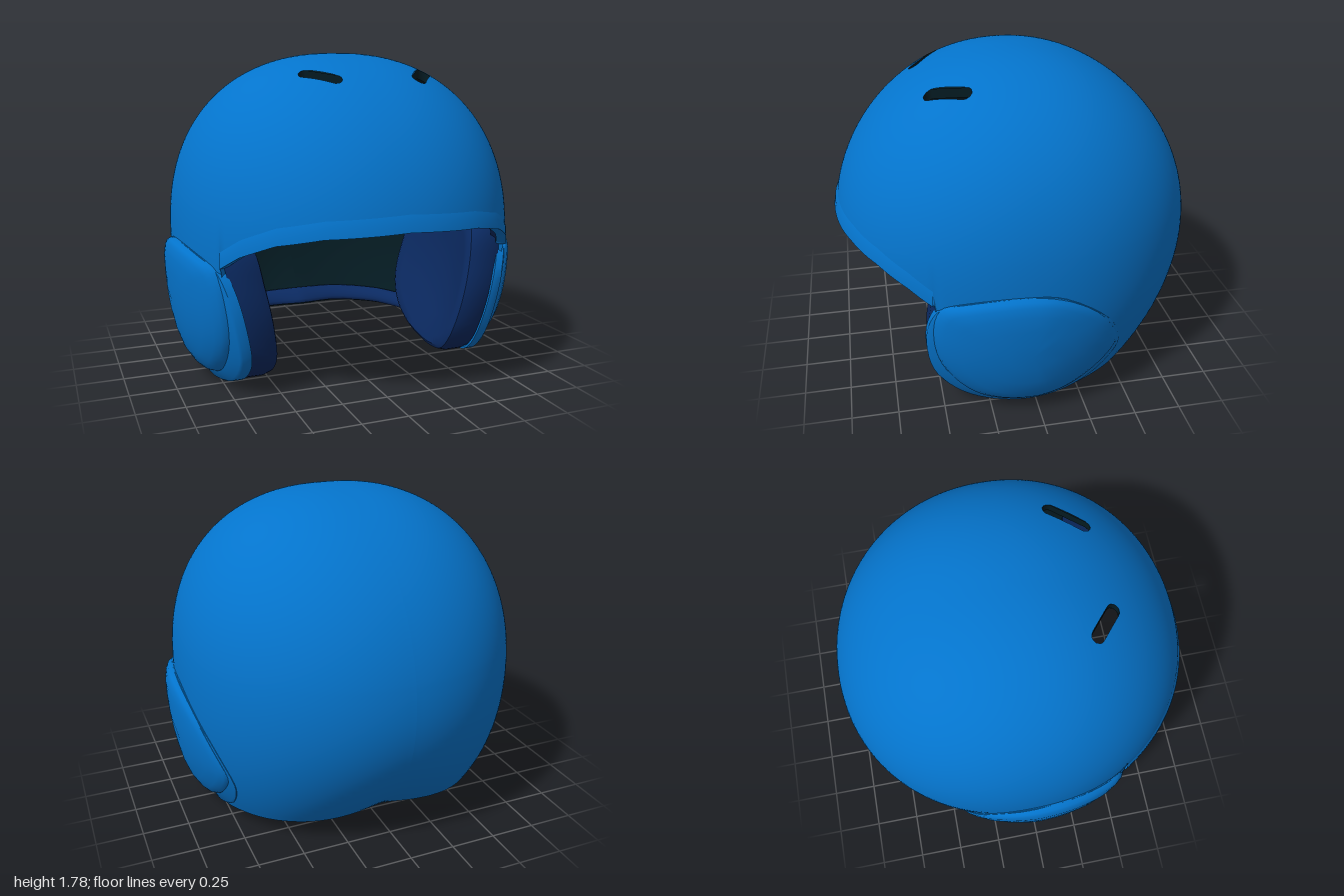
import * as THREE from 'three';
import { toCreasedNormals } from 'three/addons/utils/BufferGeometryUtils.js';

const mat = (name, color) => {
  const m = new THREE.MeshStandardMaterial({ color, side: THREE.DoubleSide });
  m.name = name;
  return m;
};

const RX = 0.95, RY = 0.98, MID = 0.8; // shell half width, dome height, widest level
const Q = 2.1; // roundness of the plan
const WALL = 0.045;

// roundness of the dome, fuller towards the sides
const domePower = (sin2) => 2 + 0.3 * sin2;
// depth of the lower half: straighter at the sides, rounder at the back
const lowerDepth = (sin2, front) => (front ? 1.34 : 0.88 + 0.46 * sin2 ** 0.75);

// relative radius where the relative height is c
function radiusAt(c, sin2) {
  const p = c > 0 ? domePower(sin2) : 2;
  return Math.max(0, 1 - Math.abs(c) ** p) ** (1 / p);
}

// lower edge of the shell: [degrees from the front, height]
const EDGE = [[0, 0.92], [25, 0.9], [39, 0.86], [50, 0.79], [58, 0.71], [60, 0.1], [66, 0.06],
  [83, 0.02], [100, 0.03], [115, 0.08], [135, 0.105], [160, 0.125], [180, 0.13]];
function edgeHeight(phi) {
  const a = Math.abs(phi) * 180 / Math.PI;
  let i = 0;
  while (i < EDGE.length - 2 && a > EDGE[i + 1][0]) i++;
  const [a0, y0] = EDGE[i], [a1, y1] = EDGE[i + 1];
  return y0 + (y1 - y0) * (a - a0) / (a1 - a0);
}

function shellPoint(phi, theta, inset) {
  const s = Math.sin(phi), k = Math.cos(phi), c = Math.cos(theta);
  const h = c > 0 ? RY - inset : lowerDepth(s * s, k > 0);
  const r = radiusAt(c, s * s) * (Math.abs(s) ** Q + Math.abs(k) ** Q) ** (-1 / Q);
  return [(RX - inset) * r * s, MID + h * c, (1 - inset) * r * k];
}
function thetaAt(phi, y) {
  const h = y > MID ? RY : lowerDepth(Math.sin(phi) ** 2, Math.cos(phi) > 0);
  return Math.acos(Math.max(-1, Math.min(1, (y - MID) / h)));
}

// x of the shell's side at a given z and y
function shellX(z, y) {
  let sin2 = 1, u = 1;
  for (let i = 0; i < 8; i++) {
    const h = y > MID ? RY : lowerDepth(sin2, z > 0);
    u = Math.max(1e-4, radiusAt((y - MID) / h, sin2) ** Q - Math.abs(z) ** Q) ** (1 / Q);
    sin2 = u * u / (u * u + z * z);
  }
  return RX * u;
}

// height of the dome above a given x and z
function domeY(x, z, inset) {
  const u = Math.abs(x) / (RX - inset), w = Math.abs(z) / (1 - inset);
  const p = domePower(u * u / (u * u + w * w));
  return MID + (RY - inset) * Math.max(0, 1 - (u ** Q + w ** Q) ** (p / Q)) ** (1 / p);
}

// surface from rows and columns of points, with optional faces left out
function grid(fn, rows, cols, flip = false, skip = null) {
  const pos = [], idx = [];
  for (let i = 0; i <= rows; i++) for (let j = 0; j <= cols; j++) pos.push(...fn(i, j));
  const tri = (a, b, c) => {
    const mean = (k) => (pos[3 * a + k] + pos[3 * b + k] + pos[3 * c + k]) / 3;
    if (skip && skip(mean(0), mean(1), mean(2))) return;
    if (flip) idx.push(a, c, b); else idx.push(a, b, c);
  };
  for (let i = 0; i < rows; i++) for (let j = 0; j < cols; j++) {
    const a = i * (cols + 1) + j, b = a + cols + 1;
    tri(a, b, b + 1);
    tri(a, b + 1, a + 1);
  }
  const g = new THREE.BufferGeometry();
  g.setAttribute('position', new THREE.Float32BufferAttribute(pos, 3));
  g.setIndex(idx);
  g.computeVertexNormals();
  return g;
}

// slanted vent slots, as capsules seen from above: ends and half width
const VENTS = [
  { a: [-0.32, 0.39], b: [-0.19, 0.5], r: 0.034 },
  { a: [0.41, 0.3], b: [0.3, 0.46], r: 0.037 },
];
function nearestOnSlot(v, x, z) {
  const dx = v.b[0] - v.a[0], dz = v.b[1] - v.a[1];
  const t = Math.max(0, Math.min(1, ((x - v.a[0]) * dx + (z - v.a[1]) * dz) / (dx * dx + dz * dz)));
  const px = v.a[0] + dx * t, pz = v.a[1] + dz * t;
  return { px, pz, d: Math.hypot(x - px, z - pz) };
}

// even rows over the dome, then rows that run down to the lower edge
const DOME_ROWS = 48, ROWS = 68, COLS = 180, DOME_END = 1.4;
const phiOf = (j) => -Math.PI + (2 * Math.PI * j) / COLS;
function rowTheta(i, phi) {
  if (i <= DOME_ROWS) return DOME_END * i / DOME_ROWS;
  const t = (i - DOME_ROWS) / (ROWS - DOME_ROWS);
  return DOME_END + (thetaAt(phi, edgeHeight(phi)) - DOME_END) * t;
}

function skin(inset, flip) {
  const fn = (i, j) => {
    const phi = phiOf(j);
    const p = shellPoint(phi, rowTheta(i, phi), inset);
    if (p[1] > 1.3) for (const v of VENTS) { // pull nearby points onto the slot outline
      const n = nearestOnSlot(v, p[0], p[2]);
      if (n.d > 1e-4 && Math.abs(n.d - v.r) < 0.016) {
        const k = v.r / n.d;
        const x = n.px + (p[0] - n.px) * k, z = n.pz + (p[2] - n.pz) * k;
        return [x, domeY(x, z, inset), z];
      }
    }
    return p;
  };
  const inSlot = (x, y, z) => y > 1.3 && VENTS.some((v) => nearestOnSlot(v, x, z).d < v.r - 0.001);
  return grid(fn, ROWS, COLS, flip, inSlot);
}

function ventWall(v) {
  const ang = Math.atan2(v.b[1] - v.a[1], v.b[0] - v.a[0]);
  return grid((i, j) => {
    const t = ang + Math.PI / 2 + (j / 24) * 2 * Math.PI;
    const end = j < 12 || j === 24 ? v.a : v.b;
    const x = end[0] + v.r * Math.cos(t), z = end[1] + v.r * Math.sin(t);
    return [x, domeY(x, z, i * WALL), z];
  }, 1, 24);
}

// band along the lower edge between two angles; profile is [height above edge, inset]
function edgeBand(from, to, profile) {
  return toCreasedNormals(grid((i, j) => {
    const phi = THREE.MathUtils.degToRad(from + (to - from) * j / 60);
    const wrapped = phi > Math.PI ? phi - 2 * Math.PI : phi;
    const [up, inset] = profile[i];
    return shellPoint(phi, thetaAt(phi, edgeHeight(wrapped) + up), inset);
  }, profile.length - 1, 60), 0.9);
}

// curved plate following the shell's side; rings are [scale, offset from shell]
function sidePlate(outline, rings, side, inward) {
  const curve = new THREE.CatmullRomCurve3(outline.map(([z, y]) => new THREE.Vector3(0, y, z)), true);
  const N = 64, pts = curve.getPoints(N);
  const c = new THREE.Vector3();
  for (let k = 0; k < N; k++) c.addScaledVector(pts[k], 1 / N);
  const g = grid((i, j) => {
    const [s, off] = rings[i];
    const y = c.y + (pts[j].y - c.y) * s, z = c.z + (pts[j].z - c.z) * s;
    // outer plates bulge more low down and flatten towards the back
    const swell = off > 0 ? (1 + 0.9 * Math.max(0, 0.6 - y)) * (1 + 1.2 * Math.min(0, z)) : 1;
    return [side * (shellX(z, y) + off * swell), y, z];
  }, rings.length - 1, N, (side > 0) !== inward);
  return toCreasedNormals(g, 0.7);
}

const RIM = [[0.5, 0.7], [0.56, 0.6], [0.58, 0.42], [0.53, 0.2], [0.4, 0.07], [0.22, 0.015],
  [0.05, 0.005], [-0.15, 0.04], [-0.33, 0.13], [-0.44, 0.27], [-0.45, 0.37], [-0.36, 0.56],
  [-0.1, 0.76], [0.1, 0.79], [0.35, 0.76]];
const BULGE = [[0.51, 0.69], [0.545, 0.5], [0.49, 0.28], [0.33, 0.11], [0.12, 0.06], [-0.15, 0.1],
  [-0.36, 0.25], [-0.43, 0.36], [-0.36, 0.54], [-0.24, 0.67], [-0.07, 0.765], [0.12, 0.79], [0.38, 0.75]];
const PAD = [[0.5, 0.8], [0.555, 0.6], [0.56, 0.4], [0.5, 0.19], [0.38, 0.07], [0.2, 0.02],
  [0.05, 0.015], [-0.15, 0.05], [-0.32, 0.15], [-0.42, 0.3], [-0.44, 0.5], [-0.35, 0.78],
  [0, 0.93], [0.32, 0.91]];

export function createModel() {
  const model = new THREE.Group();
  model.name = 'helmet';
  const blue = mat('shell blue', 0x0474cc);
  const navy = mat('padding navy', 0x0b2a62);
  const dark = mat('lining dark', 0x041a21);
  const add = (name, geo, material) => {
    const m = new THREE.Mesh(geo, material);
    m.name = name;
    model.add(m);
  };

  // domed shell with its lining, lower rim and brow lip
  add('outerShell', skin(0, false), blue);
  add('innerLining', skin(WALL, true), dark);
  add('shellRim', grid((i, j) => {
    const phi = phiOf(j);
    return shellPoint(phi, thetaAt(phi, edgeHeight(phi)), i * WALL);
  }, 1, COLS), blue);
  add('browLip', edgeBand(-58, 58, [[0.085, 0], [0.05, -0.008], [0, -0.01], [0, WALL]]), blue);
  for (const v of VENTS) add('ventWall', ventWall(v), dark);

  // ear guards: flat rim, bulging cover and thick inner pad
  for (const [label, side] of [['left', 1], ['right', -1]]) {
    add(label + 'EarRim', sidePlate(RIM,
      [[0.97, -0.05], [1, -0.04], [1, 0.006], [0.98, 0.012], [0.8, 0.012]], side, false), blue);
    add(label + 'EarCover', sidePlate(BULGE,
      [[1, 0], [1, 0.015], [0.97, 0.033], [0.9, 0.045], [0.75, 0.056], [0.5, 0.061], [0.25, 0.062], [0, 0.062]],
      side, false), blue);
    add(label + 'EarPad', sidePlate(PAD,
      [[0.97, -0.03], [1, -0.07], [1, -0.16], [0.97, -0.21], [0.91, -0.235], [0.8, -0.245], [0.5, -0.245],
        [0.25, -0.245], [0, -0.245]], side, true), navy);
  }

  // padding inside the forehead and along the lower back edge
  add('browPad', edgeBand(-62, 62, [[0.03, WALL], [0.04, 0.075], [0.3, 0.075], [0.32, WALL]]), navy);
  const roll = Array.from({ length: 15 }, (_, k) => {
    const a = (k / 14) * 2 * Math.PI;
    return [0.052 + 0.042 * Math.sin(a), 0.08 + 0.045 * Math.cos(a)];
  });
  add('neckPad', edgeBand(105, 255, roll), navy);

  return model;
}
